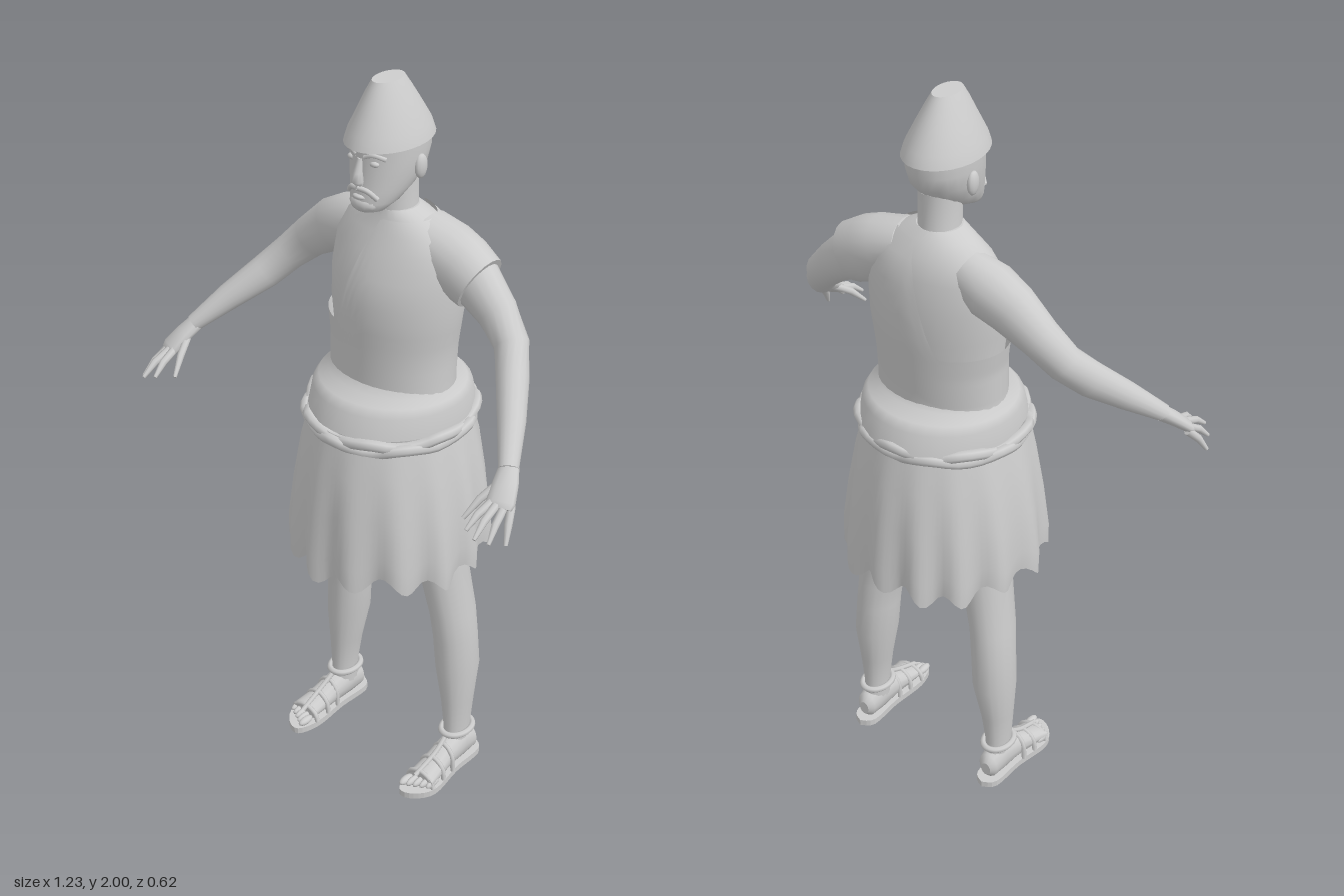
import * as THREE from 'three';

const stone = new THREE.MeshStandardMaterial({ color: 0xcccccc, side: THREE.DoubleSide });
stone.name = 'pale grey';
const V = (x, y, z) => new THREE.Vector3(x, y, z);
const TAU = Math.PI * 2;

// Closed rings of n points, stacked in rows; optional flat caps with sharp rims
function rings(rows, n, point, capped) {
  const pos = [], idx = [];
  const addRing = (i) => { for (let j = 0; j < n; j++) pos.push(...point(i, (j / n) * TAU).toArray()); };
  for (let i = 0; i < rows; i++) addRing(i);
  for (let i = 0; i < rows - 1; i++) for (let j = 0; j < n; j++) {
    const k = (j + 1) % n, a = i * n + j, b = i * n + k;
    idx.push(a, b, b + n, a, b + n, a + n);
  }
  if (capped) for (const i of [0, rows - 1]) {
    const base = pos.length / 3;
    addRing(i);
    for (let j = 1; j < n - 1; j++) {
      if (i) idx.push(base, base + j, base + j + 1);
      else idx.push(base, base + j + 1, base + j);
    }
  }
  const g = new THREE.BufferGeometry();
  g.setAttribute('position', new THREE.Float32BufferAttribute(pos, 3));
  g.setIndex(idx);
  g.computeVertexNormals();
  return g;
}

// Sections [x, y, z, ru, rv]; rings lie square to dir, or to the path itself
function loft(sections, n, ref, dir) {
  const c = sections.map((s) => V(s[0], s[1], s[2]));
  const frames = c.map((_, i) => {
    const d = (dir ? dir.clone() : c[Math.min(i + 1, c.length - 1)].clone().sub(c[Math.max(i - 1, 0)])).normalize();
    const u = ref.clone().addScaledVector(d, -ref.dot(d)).normalize();
    return [u, d.clone().cross(u)];
  });
  return rings(sections.length, n, (i, a) => c[i].clone()
    .addScaledVector(frames[i][0], Math.cos(a) * sections[i][3])
    .addScaledVector(frames[i][1], Math.sin(a) * (sections[i][4] ?? sections[i][3])), true);
}

const X = V(1, 0, 0), Y = V(0, 1, 0), Z = V(0, 0, 1);
// Upright sections [y, half width, front z, back z]
const upright = (list, n) => loft(list.map(([y, r, f, b]) => [0, y, (f + b) / 2, r, (f - b) / 2]), n, X, Y);

const body = [
  [0.92, 0.16, 0.08, -0.2], [1.08, 0.18, 0.09, -0.2], [1.2, 0.165, 0.075, -0.175], [1.3, 0.165, 0.075, -0.185],
  [1.4, 0.178, 0.078, -0.195], [1.48, 0.182, 0.07, -0.195], [1.56, 0.18, 0.04, -0.185],
  [1.61, 0.155, 0.015, -0.165], [1.645, 0.1, 0.0, -0.14], [1.665, 0.058, -0.005, -0.12],
];
function bodyAt(y) {
  let i = 0;
  while (i < body.length - 2 && body[i + 1][0] < y) i++;
  const t = (y - body[i][0]) / (body[i + 1][0] - body[i][0]);
  return body[i].map((v, k) => v + (body[i + 1][k] - v) * t);
}

export function createModel() {
  const model = new THREE.Group();
  const add = (name, geometry, parent = model) => {
    const m = new THREE.Mesh(geometry, stone);
    m.name = name;
    parent.add(m);
    return m;
  };
  const group = (name) => {
    const g = new THREE.Group();
    g.name = name;
    model.add(g);
    return g;
  };
  const ball = (name, p, r, parent) => {
    const m = add(name, new THREE.SphereGeometry(1, 12, 8), parent);
    m.position.set(...p);
    m.scale.set(...r);
    return m;
  };
  const tube = (name, pts, r, parent, closed = false) => add(name,
    new THREE.TubeGeometry(new THREE.CatmullRomCurve3(pts, closed), closed ? 48 : 10, r, 7, closed), parent);

  // Body and head
  add('torso', upright(body, 28));
  add('neck', upright([[1.62, 0.065, 0.0, -0.135], [1.66, 0.053, -0.005, -0.12], [1.76, 0.052, 0.0, -0.12]], 18));
  const head = group('head');
  add('skull', upright([
    [1.683, 0.025, 0.065, 0.025], [1.69, 0.044, 0.076, 0.0], [1.71, 0.06, 0.08, -0.055], [1.74, 0.073, 0.076, -0.1],
    [1.78, 0.084, 0.073, -0.138], [1.82, 0.088, 0.072, -0.152], [1.86, 0.088, 0.074, -0.15],
  ], 24), head);
  add('nose', loft([
    [0, 1.825, 0.066, 0.008, 0.01], [0, 1.79, 0.077, 0.011, 0.014],
    [0, 1.768, 0.08, 0.016, 0.016], [0, 1.757, 0.074, 0.012, 0.01]], 10, X, V(0, -1, 0)), head);
  add('lowerLip', new THREE.SphereGeometry(1, 10, 6), head).position.set(0, 1.726, 0.073);
  head.getObjectByName('lowerLip').scale.set(0.02, 0.007, 0.012);
  ball('beard', [0, 1.705, 0.05], [0.044, 0.026, 0.034], head);
  for (const s of [-1, 1]) {
    ball('eye', [s * 0.035, 1.815, 0.058], [0.014, 0.008, 0.01], head);
    ball('ear', [s * 0.088, 1.79, -0.05], [0.012, 0.032, 0.02], head);
    tube('brow', [V(s * 0.012, 1.83, 0.068), V(s * 0.035, 1.838, 0.062), V(s * 0.06, 1.828, 0.044)], 0.006, head);
    tube('moustache', [V(0, 1.75, 0.079), V(s * 0.025, 1.745, 0.072), V(s * 0.045, 1.725, 0.058)], 0.007, head);
  }

  // Conical cap with a blunt top
  add('cap', upright([
    [1.85, 0.097, 0.092, -0.165], [1.88, 0.088, 0.082, -0.155], [1.93, 0.065, 0.056, -0.125],
    [1.97, 0.046, 0.036, -0.1], [2.0, 0.03, 0.018, -0.08]], 28));

  // Tunic leaving one shoulder bare
  const rows = 14;
  add('tunic', rings(rows, 64, (i, a) => {
    const t = THREE.MathUtils.smoothstep(Math.cos(a), -0.5, 0.15);
    const top = 1.36 + 0.288 * t;
    const y = 1.19 + (top - 1.19) * (i / (rows - 1));
    const [, r, f, b] = bodyAt(y);
    return V(Math.cos(a) * (r + 0.012), y, (f + b) / 2 - Math.sin(a) * ((f - b) / 2 + 0.012));
  }));
  // Flared tunic hem and the rolled belt
  add('tunicHem', upright([
    [1.11, 0.212, 0.175, -0.272], [1.165, 0.207, 0.155, -0.255], [1.185, 0.196, 0.135, -0.235],
    [1.2, 0.178, 0.1, -0.195], [1.23, 0.168, 0.08, -0.18]], 32));
  for (const [k, y] of [[0, 1.1], [Math.PI, 1.085]]) {
    const pts = [];
    for (let j = 0; j < 24; j++) {
      const a = (j / 24) * TAU, w = Math.sin(a * 7 + k);
      pts.push(V(Math.cos(a) * (0.215 + 0.007 * w), y + 0.009 * w - 0.008 * Math.sin(a), -0.043 + Math.sin(a) * (0.215 + 0.007 * w)));
    }
    tube('beltRoll', pts, 0.015, undefined, true);
  }

  // Pleated skirt with a ragged hem
  const skirt = [[0, 0.26, 0.265], [0.15, 0.263, 0.266], [0.45, 0.25, 0.256], [0.75, 0.23, 0.24], [1, 0.205, 0.215]];
  add('skirt', rings(skirt.length, 112, (i, a) => {
    const [v, rx, rz] = skirt[i];
    const fold = Math.sin(a * 14 + 0.6 * Math.sin(a * 3)) * 0.012 * (1 - v) ** 1.5;
    const hem = 0.69 + 0.02 * Math.sin(a * 14 + 0.6 * Math.sin(a * 3) + 2) + 0.01 * Math.sin(a * 5);
    return V(Math.cos(a) * (rx + fold), hem + (1.1 - hem) * v, -0.042 - Math.sin(a) * (rz + fold));
  }));

  for (const s of [-1, 1]) {
    const side = s > 0 ? 'left' : 'right';
    const mir = (list) => list.map(([x, ...r]) => [x * s, ...r]);
    const P = (x, y, z) => V(x * s, y, z);

    // Arm and hand
    const arm = group(side + 'Arm');
    add('armSkin', loft(mir([
      [0.1, 1.575, -0.09, 0.06, 0.06], [0.17, 1.545, -0.09, 0.076, 0.068], [0.235, 1.515, -0.09, 0.07, 0.06],
      [0.31, 1.458, -0.082, 0.055, 0.05], [0.37, 1.4, -0.064, 0.048, 0.044], [0.415, 1.345, -0.015, 0.046, 0.041],
      [0.475, 1.28, 0.06, 0.036, 0.035], [0.533, 1.21, 0.14, 0.022, 0.025]]), 16, Y), arm);
    add('palm', loft(mir([
      [0.528, 1.215, 0.13, 0.021, 0.024], [0.545, 1.187, 0.165, 0.019, 0.032],
      [0.56, 1.155, 0.2, 0.016, 0.036], [0.564, 1.145, 0.21, 0.009, 0.03]]), 12, Y), arm);
    const fingers = [
      [[0.54, 1.155, 0.21], [0.53, 1.11, 0.29]], [[0.555, 1.152, 0.212], [0.563, 1.102, 0.3]],
      [[0.57, 1.148, 0.2], [0.588, 1.088, 0.277]], [[0.58, 1.148, 0.185], [0.609, 1.075, 0.238]],
      [[0.53, 1.185, 0.165], [0.492, 1.11, 0.255]],
    ];
    for (const [a, b] of fingers) {
      const p = P(...a), q = P(...b), m = p.clone().lerp(q, 0.55).add(V(0, 0.008, 0));
      add('finger', loft([[...p, 0.011], [...m, 0.01], [...q, 0.005]], 8, Y), arm);
    }

    // Leg
    const leg = group(side + 'Leg');
    add('legSkin', loft(mir([
      [0.21, 0.06, -0.085, 0.032, 0.045], [0.21, 0.13, -0.085, 0.031, 0.044], [0.207, 0.22, -0.088, 0.041, 0.052],
      [0.2, 0.33, -0.093, 0.055, 0.068], [0.193, 0.43, -0.09, 0.056, 0.068], [0.186, 0.51, -0.085, 0.057, 0.071],
      [0.155, 0.67, -0.073, 0.065, 0.075], [0.125, 0.82, -0.065, 0.085, 0.09], [0.1, 0.97, -0.06, 0.09, 0.1]]),
    18, X, Y), leg);

    // Sandalled foot
    const foot = group(side + 'Foot');
    add('footSkin', loft(mir([
      [0.212, 0.05, -0.148, 0.015, 0.02], [0.212, 0.055, -0.135, 0.03, 0.038], [0.212, 0.065, -0.09, 0.035, 0.052],
      [0.214, 0.055, -0.03, 0.034, 0.042], [0.218, 0.042, 0.03, 0.038, 0.028], [0.222, 0.035, 0.08, 0.042, 0.018]]),
    14, X, Z), foot);
    for (let t = 0; t < 5; t++)
      ball('toe', [s * (0.19 + t * 0.016), 0.03, 0.105 - t * 0.009], [t ? 0.009 : 0.012, 0.011, 0.026], foot);
    const outline = new THREE.Shape();
    outline.setFromPoints(new THREE.SplineCurve([
      [0.212, 0.168], [0.18, 0.14], [0.18, 0.04], [0.171, -0.07], [0.192, -0.135],
      [0.235, -0.125], [0.267, -0.07], [0.25, 0.04], [0.245, 0.14], [0.212, 0.168],
    ].map(([x, y]) => new THREE.Vector2(x * s, y))).getPoints(36).slice(0, -1));
    const sole = new THREE.ExtrudeGeometry(outline, { depth: 0.018, bevelEnabled: false });
    sole.rotateX(-Math.PI / 2);
    add('sole', sole, foot);
    // Straps: around the ankle and over the instep and toes
    const ankle = [];
    for (let j = 0; j < 12; j++)
      ankle.push(P(0.21 + 0.037 * Math.cos(j / 12 * TAU), 0.115, -0.085 + 0.05 * Math.sin(j / 12 * TAU)));
    tube('ankleStrap', ankle, 0.009, foot, true);
    for (const [z, h, w] of [[-0.02, 0.095, 0.036], [0.025, 0.074, 0.041], [0.075, 0.054, 0.045]])
      tube('footStrap', [P(0.217 - w, 0.018, z), P(0.217 - w * 0.8, h * 0.75, z), P(0.217, h, z),
        P(0.217 + w * 0.8, h * 0.75, z), P(0.217 + w, 0.018, z)], 0.007, foot);
    tube('centreStrap', [P(0.212, 0.11, -0.035), P(0.215, 0.082, 0.01), P(0.212, 0.05, 0.09)], 0.007, foot);
  }

  // Short sleeve on the covered shoulder
  add('sleeve', loft([
    [0.07, 1.595, -0.085, 0.062, 0.08], [0.14, 1.565, -0.09, 0.08, 0.08],
    [0.19, 1.54, -0.09, 0.086, 0.078], [0.245, 1.512, -0.09, 0.08, 0.07]], 18, Y));
  return model;
}
